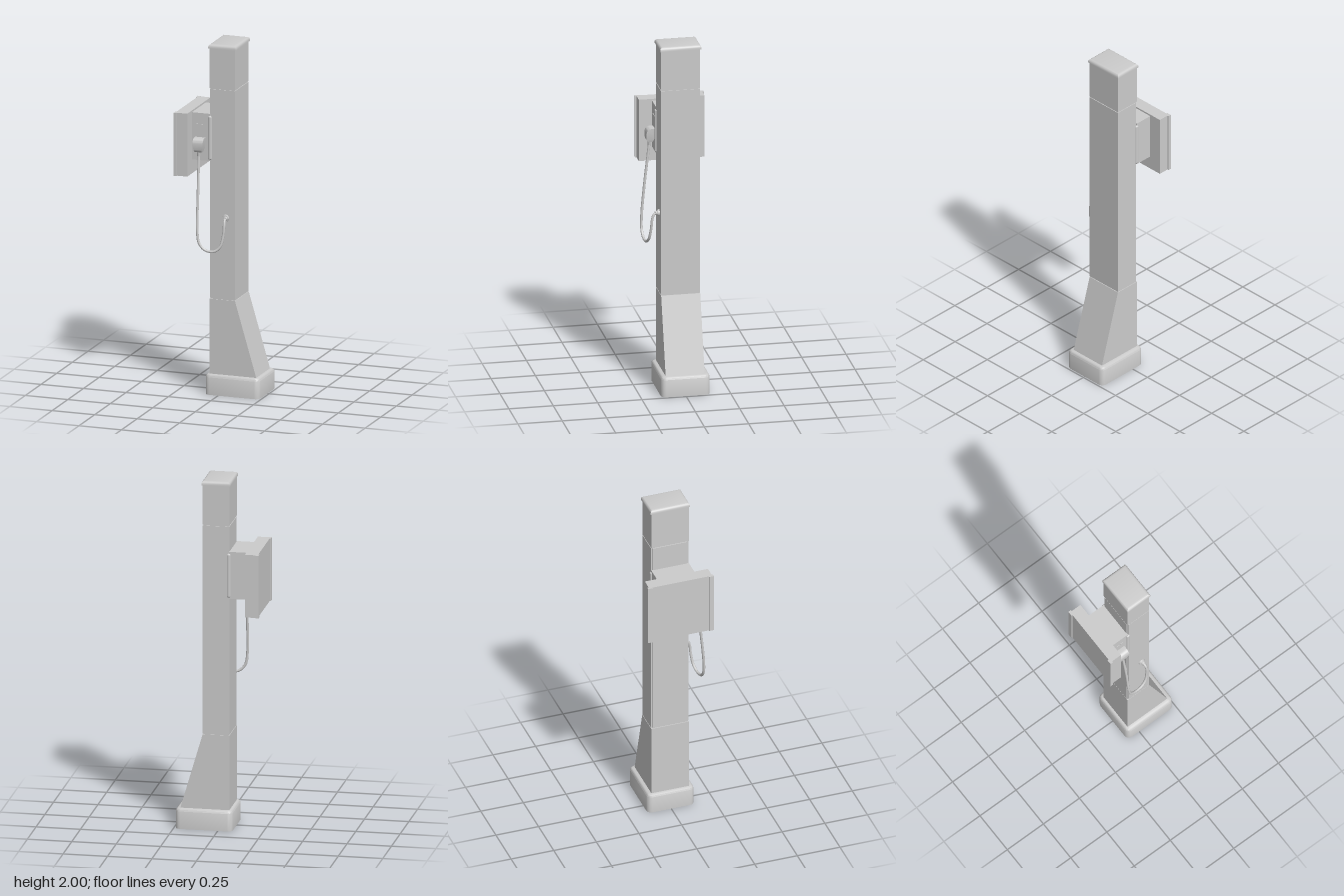
import * as THREE from 'three';
import { toCreasedNormals } from 'three/addons/utils/BufferGeometryUtils.js';
import { RoundedBoxGeometry } from 'three/addons/geometries/RoundedBoxGeometry.js';

const grey = new THREE.MeshStandardMaterial({ color: 0xcccccc });
const greyOpen = new THREE.MeshStandardMaterial({ color: 0xcccccc, side: THREE.DoubleSide });

// Rectangle outline at height y; r rounds the corners
function ring(y, x0, x1, hz, r = 0) {
  const pts = [], n = r > 0 ? 4 : 0;
  const corners = [[x1 - r, hz - r], [x0 + r, hz - r], [x0 + r, r - hz], [x1 - r, r - hz]];
  corners.forEach(([cx, cz], q) => {
    for (let i = 0; i <= n; i++) {
      const a = (q + (n ? i / n : 0)) * Math.PI / 2;
      pts.push(n ? [cx + r * Math.cos(a), y, cz + r * Math.sin(a)] : [cx, y, cz]);
    }
  });
  return pts;
}

// Skin through successive outlines, optionally closed on top
function loft(rings, capped, crease = 0.5) {
  const pos = [], n = rings[0].length;
  const tri = (a, b, c) => pos.push(...a, ...b, ...c);
  for (let k = 0; k < rings.length - 1; k++) {
    const lo = rings[k], hi = rings[k + 1];
    for (let i = 0; i < n; i++) {
      const j = (i + 1) % n;
      tri(lo[i], hi[i], lo[j]);
      tri(lo[j], hi[i], hi[j]);
    }
  }
  if (capped) {
    const t = rings[rings.length - 1];
    for (let i = 1; i < n - 1; i++) tri(t[0], t[i + 1], t[i]);
  }
  const g = new THREE.BufferGeometry();
  g.setAttribute('position', new THREE.Float32BufferAttribute(pos, 3));
  return toCreasedNormals(g, crease);
}

export function createModel() {
  const model = new THREE.Group();
  model.name = 'chargingPost';

  const add = (name, geo, material = grey) => {
    const m = new THREE.Mesh(geo, material);
    m.name = name;
    model.add(m);
    return m;
  };
  // Box given by its limits on each axis
  const box = (name, x0, x1, y0, y1, z0, z1) =>
    add(name, new THREE.BoxGeometry(x1 - x0, y1 - y0, z1 - z0))
      .position.set((x0 + x1) / 2, (y0 + y1) / 2, (z0 + z1) / 2);

  // Hollow base skirt with softened upper edge
  add('baseSkirt', loft([
    ring(0, -0.08, 0.24, 0.137, 0.028),
    ring(0.1, -0.08, 0.24, 0.137, 0.028),
    ring(0.109, -0.077, 0.237, 0.134, 0.026),
    ring(0.115, -0.069, 0.229, 0.126, 0.022),
    ring(0.115, -0.05, 0.208, 0.1, 0.004),
    ring(0.1, -0.05, 0.208, 0.1, 0.004),
    ring(0.1, -0.07, 0.23, 0.127, 0.02),
    ring(0, -0.07, 0.23, 0.127, 0.02),
    ring(0, -0.08, 0.24, 0.137, 0.028),
  ], false, 0.7), greyOpen);

  // Sloping foot, open underneath
  add('foot', loft([
    ring(0.112, -0.06, 0.216, 0.11),
    ring(0.543, -0.06, 0.09, 0.11),
  ], true), greyOpen);

  // Column with recessed seams and an inset panel on the charger side
  box('seamCore', -0.054, 0.086, 0.535, 1.76, -0.106, 0.106);
  box('column', -0.05, 0.09, 0.547, 1.743, -0.11, 0.11);
  box('sidePanel', -0.06, -0.048, 0.547, 1.743, -0.1, 0.1);
  box('headSection', -0.06, 0.09, 1.748, 1.98, -0.11, 0.11);

  // Rounded cap
  add('cap', loft([
    ring(1.976, -0.058, 0.088, 0.108),
    ring(1.976, -0.065, 0.096, 0.116),
    ring(1.986, -0.065, 0.096, 0.116),
    ring(1.993, -0.062, 0.093, 0.113),
    ring(1.998, -0.056, 0.087, 0.107),
    ring(2.0, -0.047, 0.078, 0.098),
  ], true));

  // Mounting bracket and charger housing
  add('mountBracket', new RoundedBoxGeometry(0.022, 0.25, 0.236, 3, 0.008))
    .position.set(-0.057, 1.463, 0);
  box('chargerHousing', -0.165, -0.058, 1.33, 1.6, -0.11, 0.11);
  box('displayPanel', -0.234, -0.163, 1.25, 1.61, -0.185, 0.185);
  for (const s of [-1, 1]) {
    const a = s * 0.165, b = s * 0.193;
    box('displayRail', -0.241, -0.223, 1.25, 1.61, Math.min(a, b), Math.max(a, b));
  }

  // Small indicators above the holster
  for (const x of [-0.127, -0.103]) box('indicator', x - 0.008, x + 0.008, 1.53, 1.537, 0.108, 0.113);

  // Plug grip: rounded side profile, drawn as (z, y)
  const side = new THREE.Shape();
  side.moveTo(0.108, 1.462);
  side.lineTo(0.13, 1.462);
  side.quadraticCurveTo(0.157, 1.46, 0.157, 1.43);
  side.lineTo(0.157, 1.405);
  side.quadraticCurveTo(0.155, 1.385, 0.14, 1.382);
  side.lineTo(0.122, 1.382);
  side.lineTo(0.108, 1.41);
  const grip = new THREE.ExtrudeGeometry(side, { depth: 0.06, bevelEnabled: false, curveSegments: 8 });
  grip.rotateY(-Math.PI / 2);
  grip.translate(-0.083, 0, 0);
  // Taper the lower end of the grip
  const p = grip.attributes.position;
  for (let i = 0; i < p.count; i++) {
    const t = THREE.MathUtils.clamp((1.42 - p.getY(i)) / 0.04, 0, 1);
    p.setX(i, -0.113 + (p.getX(i) + 0.113) * (1 - 0.35 * t));
  }
  add('plugGrip', toCreasedNormals(grip, 0.6));

  // Hanging cable from the grip to the column socket
  const path = new THREE.CatmullRomCurve3([
    [-0.113, 1.395, 0.134], [-0.112, 1.34, 0.14], [-0.108, 1.13, 0.165], [-0.106, 0.95, 0.181],
    [-0.094, 0.875, 0.183], [-0.06, 0.838, 0.18], [-0.01, 0.833, 0.174], [0.022, 0.86, 0.165],
    [0.037, 0.92, 0.156], [0.041, 0.98, 0.15], [0.039, 1.008, 0.138], [0.038, 1.013, 0.108],
  ].map(v => new THREE.Vector3(...v)));
  add('cable', new THREE.TubeGeometry(path, 90, 0.0075, 10));

  const cableCollar = add('cableCollar', new THREE.CylinderGeometry(0.012, 0.009, 0.025, 12));
  cableCollar.position.set(-0.113, 1.373, 0.136);

  // Socket on the column face
  const socket = add('socketFlange', new THREE.CylinderGeometry(0.018, 0.02, 0.012, 20));
  socket.rotation.x = Math.PI / 2;
  socket.position.set(0.036, 1.013, 0.115);
  const gland = add('socketGland', new THREE.CylinderGeometry(0.01, 0.013, 0.014, 16));
  gland.rotation.x = Math.PI / 2;
  gland.position.set(0.038, 1.013, 0.127);

  return model;
}
